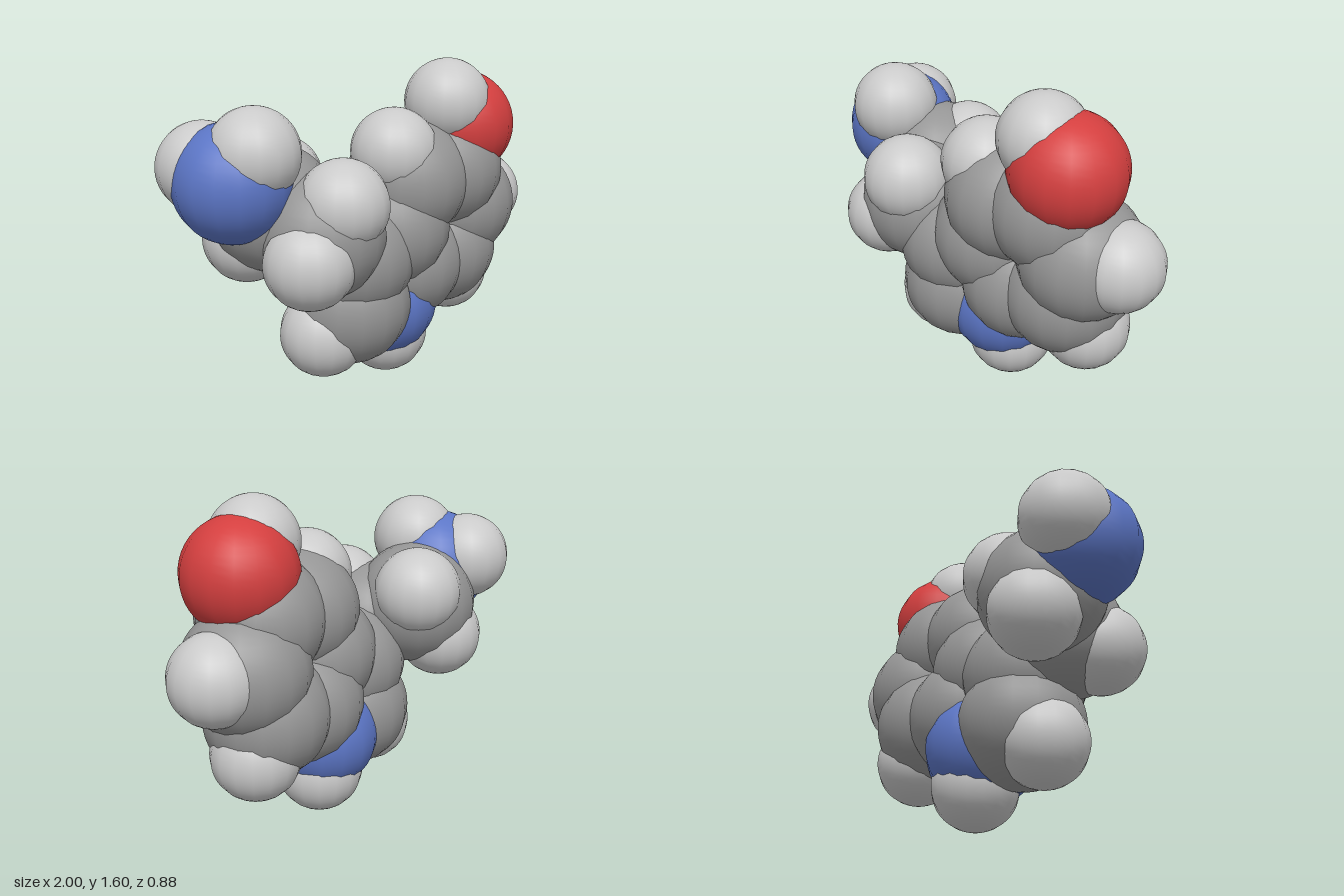
import * as THREE from 'three';

const material = (name, color) => {
  const m = new THREE.MeshStandardMaterial({ color });
  m.name = name;
  return m;
};

// Height of the flat ring system along z
const ringZ = (x, y) => -0.08 - 0.151 * x + 0.138 * y;

export function createModel() {
  const group = new THREE.Group();
  group.name = 'spaceFillingMolecule';

  const kinds = {
    carbon: { r: 0.305, mat: material('carbon grey', 0x969696) },
    nitrogen: { r: 0.278, mat: material('nitrogen blue', 0x5c76c6) },
    oxygen: { r: 0.273, mat: material('oxygen red', 0xd43f3f) },
    hydrogen: { r: 0.214, mat: material('hydrogen pale grey', 0xcacaca) },
  };
  for (const k of Object.values(kinds)) k.geo = new THREE.SphereGeometry(k.r, 16, 24);

  const atom = (kind, name, x, y, z = ringZ(x, y)) => {
    const mesh = new THREE.Mesh(kinds[kind].geo, kinds[kind].mat);
    mesh.name = name;
    mesh.position.set(x, y, z);
    group.add(mesh);
  };

  // Six-sided ring of carbons
  for (let i = 0; i < 6; i++) {
    const a = THREE.MathUtils.degToRad(4.5 + i * 60);
    atom('carbon', `sixRingCarbon${i + 1}`, 0.344 + 0.25 * Math.cos(a), 0.824 + 0.25 * Math.sin(a));
  }

  // Remaining corners of the five-sided ring
  atom('carbon', 'fiveRingCarbonLower', -0.145, 0.455, 0.015);
  atom('carbon', 'fiveRingCarbonUpper', -0.14, 0.70);
  atom('nitrogen', 'ringNitrogen', 0.10, 0.397);

  // Hydrogens around the rings
  atom('hydrogen', 'ringHydrogenTop', 0.088, 1.183, 0.07);
  atom('hydrogen', 'ringHydrogenSide', 0.785, 0.86, -0.08);
  atom('hydrogen', 'ringHydrogenLowerSide', 0.587, 0.452, -0.106);
  atom('hydrogen', 'ringHydrogenBottom', 0.135, 0.221, -0.057);
  atom('hydrogen', 'ringHydrogenLowerRight', -0.298, 0.33, 0.02);

  // Hydroxyl group
  atom('oxygen', 'hydroxylOxygen', 0.55, 1.265, 0.015);
  atom('hydrogen', 'hydroxylHydrogen', 0.435, 1.392, 0.05);

  // Side chain: two carbons, each with a pair of hydrogens
  atom('carbon', 'chainCarbonFront', -0.36, 0.855, 0.1);
  atom('hydrogen', 'chainHydrogenFrontUpper', -0.318, 1.012, 0.222);
  atom('hydrogen', 'chainHydrogenFrontLower', -0.495, 0.768, 0.212);
  atom('carbon', 'chainCarbonBack', -0.49, 0.96, -0.122);
  atom('hydrogen', 'chainHydrogenBackUpper', -0.378, 1.058, -0.23);
  atom('hydrogen', 'chainHydrogenBackLower', -0.563, 0.80, -0.225);

  // Amine end of the chain
  atom('nitrogen', 'amineNitrogen', -0.712, 1.115, -0.07);
  atom('hydrogen', 'amineHydrogenFront', -0.654, 1.253, 0.022);
  atom('hydrogen', 'amineHydrogenBack', -0.784, 1.17, -0.215);

  return group;
}
